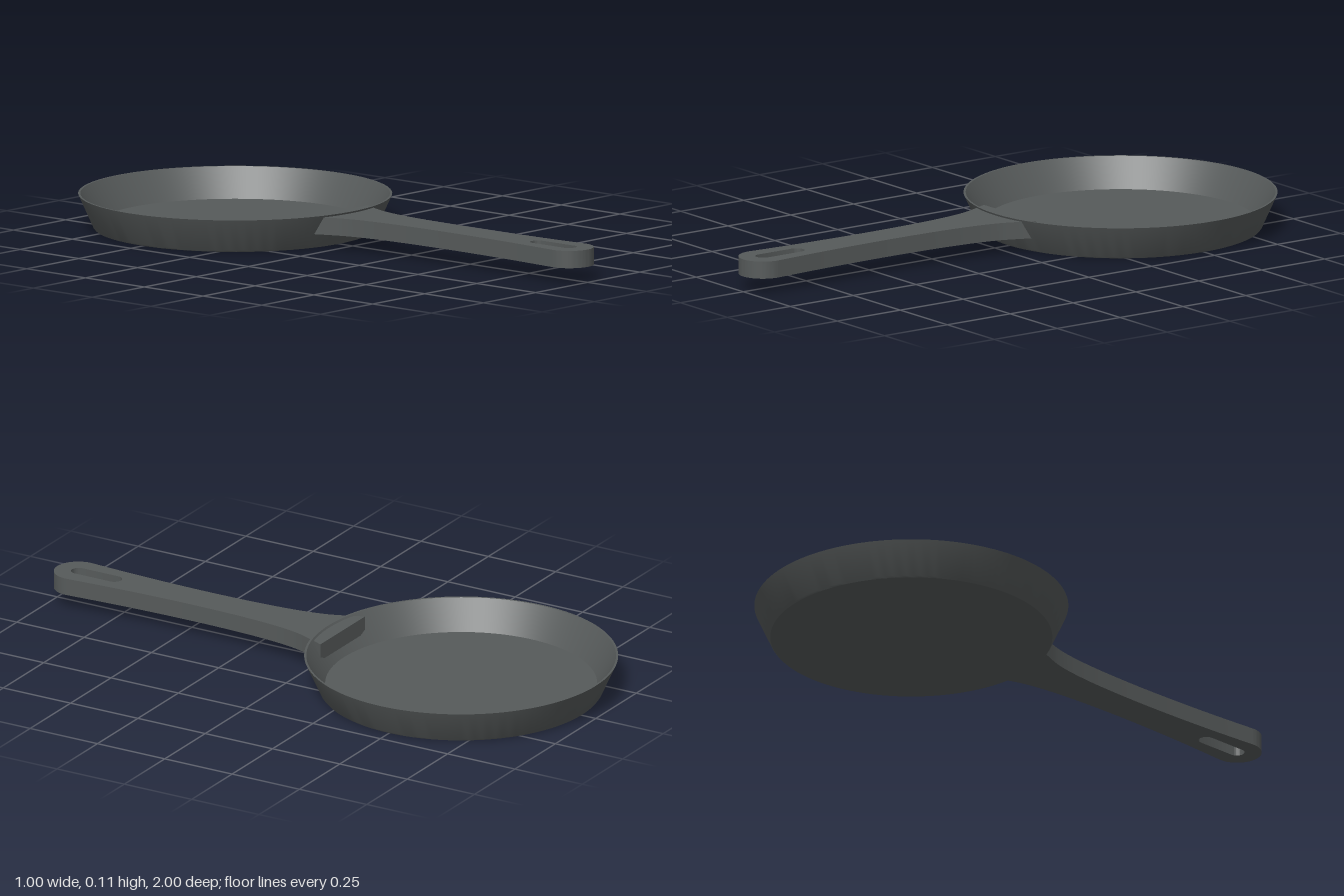
import * as THREE from 'three';
import { toCreasedNormals } from 'three/addons/utils/BufferGeometryUtils.js';

const v = (x, y) => new THREE.Vector2(x, y);

export function createModel() {
  const group = new THREE.Group();
  const iron = new THREE.MeshStandardMaterial({ color: 0x565a5a });
  iron.name = 'darkIron';

  const add = (name, geometry) => {
    const mesh = new THREE.Mesh(toCreasedNormals(geometry, 0.4), iron);
    mesh.name = name;
    group.add(mesh);
    return mesh;
  };

  // Pan body: flared wall with a thin rim and flat floor
  const profile = [
    v(0, 0), v(0.442, 0), v(0.449, 0.002), v(0.453, 0.007),
    v(0.5, 0.112), v(0.493, 0.112), v(0.433, 0.017), v(0, 0.017),
  ];
  add('panBody', new THREE.LatheGeometry(profile, 128)).position.z = -0.5;

  // Handle outline: shape y runs along the model's z
  const side = [
    [0.138, -0.06], [0.112, 0], [0.091, 0.06], [0.076, 0.14],
    [0.065, 0.26], [0.06, 0.42], [0.061, 0.58], [0.067, 0.75], [0.078, 0.922],
  ];
  const outline = new THREE.Shape();
  outline.moveTo(...side[0]);
  outline.splineThru(side.slice(1).map(([x, z]) => v(x, z)));
  outline.absarc(0, 0.922, 0.078, 0, Math.PI, false);
  outline.splineThru(side.slice(0, -1).reverse().map(([x, z]) => v(-x, z)));
  outline.closePath();

  // Rounded hanging slot
  const slot = new THREE.Path();
  slot.absarc(0, 0.92, 0.025, 0, Math.PI, false);
  slot.absarc(0, 0.788, 0.025, Math.PI, Math.PI * 2, false);
  slot.closePath();
  outline.holes.push(slot);

  const handle = new THREE.ExtrudeGeometry(outline, {
    depth: 0.056, bevelEnabled: false, curveSegments: 20,
  });
  handle.rotateX(Math.PI / 2);
  handle.translate(0, 0.106, 0);
  add('handle', handle);

  return group;
}
